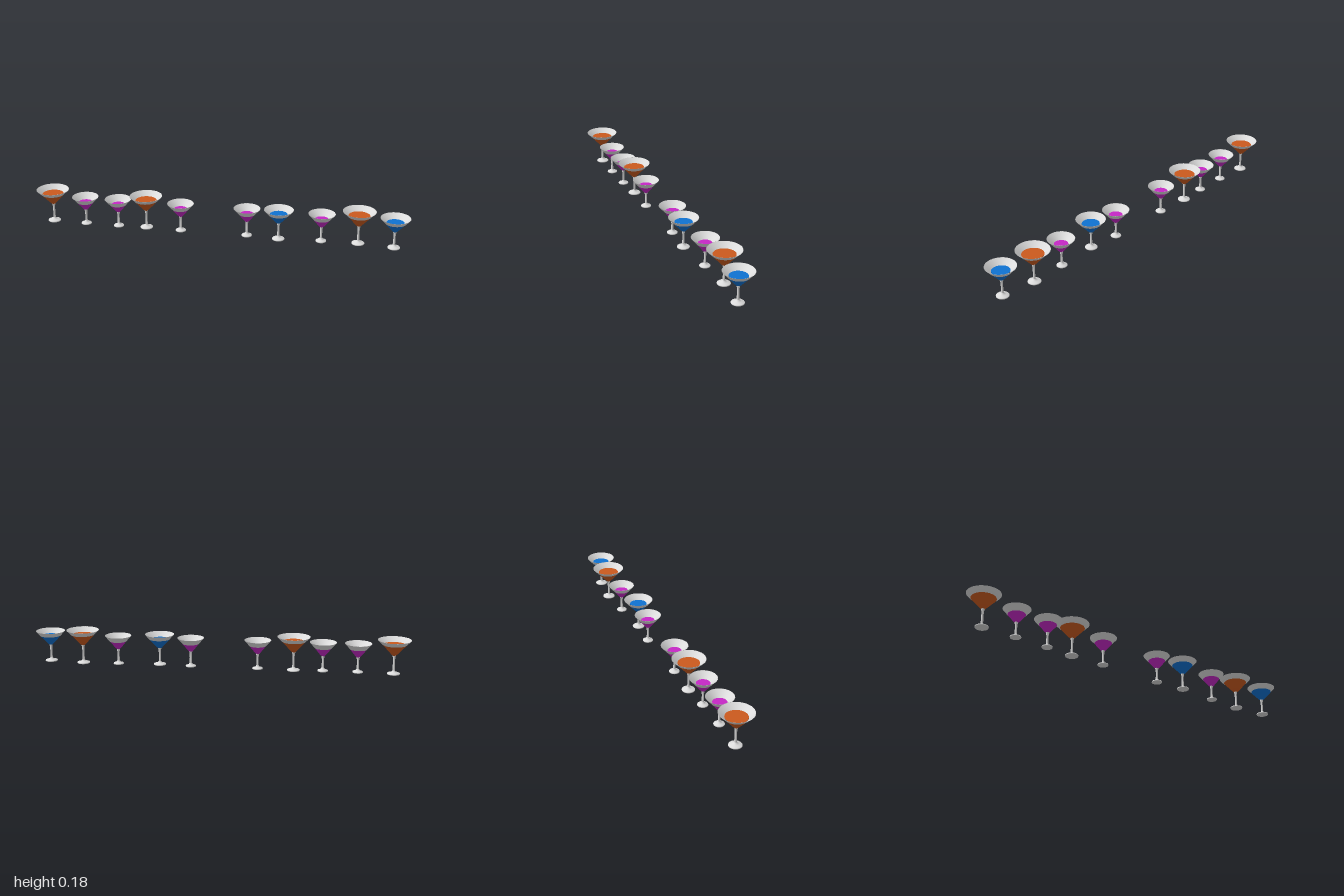
import * as THREE from 'three';

const material = (name, color, side = THREE.FrontSide) => {
  const m = new THREE.MeshStandardMaterial({ color, side });
  m.name = name;
  return m;
};

// Three glass sizes: rim radius and height, bowl bottom, liquid level, liquid radii, foot radius
const KINDS = {
  orange: { rim: 0.087, height: 0.182, bowl: 0.1, level: 0.158, outer: 0.063, surface: 0.056, foot: 0.034, z: -0.007, color: 0xcb5a1e },
  blue: { rim: 0.078, height: 0.167, bowl: 0.092, level: 0.142, outer: 0.056, surface: 0.046, foot: 0.033, z: 0.014, color: 0x0f72d2 },
  magenta: { rim: 0.071, height: 0.156, bowl: 0.083, level: 0.126, outer: 0.045, surface: 0.036, foot: 0.028, z: 0, color: 0xc627c6 },
};

const ROW = [
  ['orange', -0.914], ['magenta', -0.73], ['magenta', -0.548], ['orange', -0.395], ['magenta', -0.205],
  ['magenta', 0.152], ['blue', 0.322], ['magenta', 0.545], ['orange', 0.737], ['blue', 0.922],
];

function lathe(name, points, mat) {
  const profile = points.map(([r, y]) => new THREE.Vector2(r, y));
  const mesh = new THREE.Mesh(new THREE.LatheGeometry(profile, 40), mat);
  mesh.name = name;
  return mesh;
}

function cocktailGlass(k, glass, drink) {
  const g = new THREE.Group();
  // Foot flaring up into the stem
  g.add(lathe('foot', [
    [0, 0], [k.foot * 0.97, 0], [k.foot, 0.003], [k.foot * 0.95, 0.006],
    [k.foot * 0.55, 0.01], [0.01, 0.014], [0.0065, 0.02],
  ], glass));
  g.add(lathe('stem', [[0.0065, 0.02], [0.0055, 0.05], [0.006, k.bowl - 0.015], [0.009, k.bowl]], glass));
  // Clear upper bowl: outer wall, rim and sloping inner wall
  g.add(lathe('bowlRim', [
    [k.outer, k.level], [k.rim, k.height], [k.rim - 0.002, k.height], [k.surface, k.level - 0.001],
  ], glass));
  // Filled lower bowl, rounded at the bottom
  g.add(lathe('filledBowl', [
    [0, k.bowl - 0.003], [0.007, k.bowl - 0.001], [0.014, k.bowl + 0.004], [k.outer, k.level],
  ], drink));
  // Liquid surface
  const top = new THREE.Mesh(new THREE.CircleGeometry(k.surface, 40), drink);
  top.name = 'liquidSurface';
  top.rotation.x = -Math.PI / 2;
  top.position.y = k.level;
  g.add(top);
  return g;
}

export function createModel() {
  const model = new THREE.Group();
  model.name = 'cocktailGlasses';
  const glass = material('clearGlass', 0xdcdcdc, THREE.DoubleSide);
  const drinks = {};
  for (const [name, k] of Object.entries(KINDS)) drinks[name] = material(name + 'Drink', k.color);
  for (const [kind, x] of ROW) {
    const g = cocktailGlass(KINDS[kind], glass, drinks[kind]);
    g.name = kind + 'Cocktail';
    g.position.set(x, 0, KINDS[kind].z);
    model.add(g);
  }
  return model;
}
